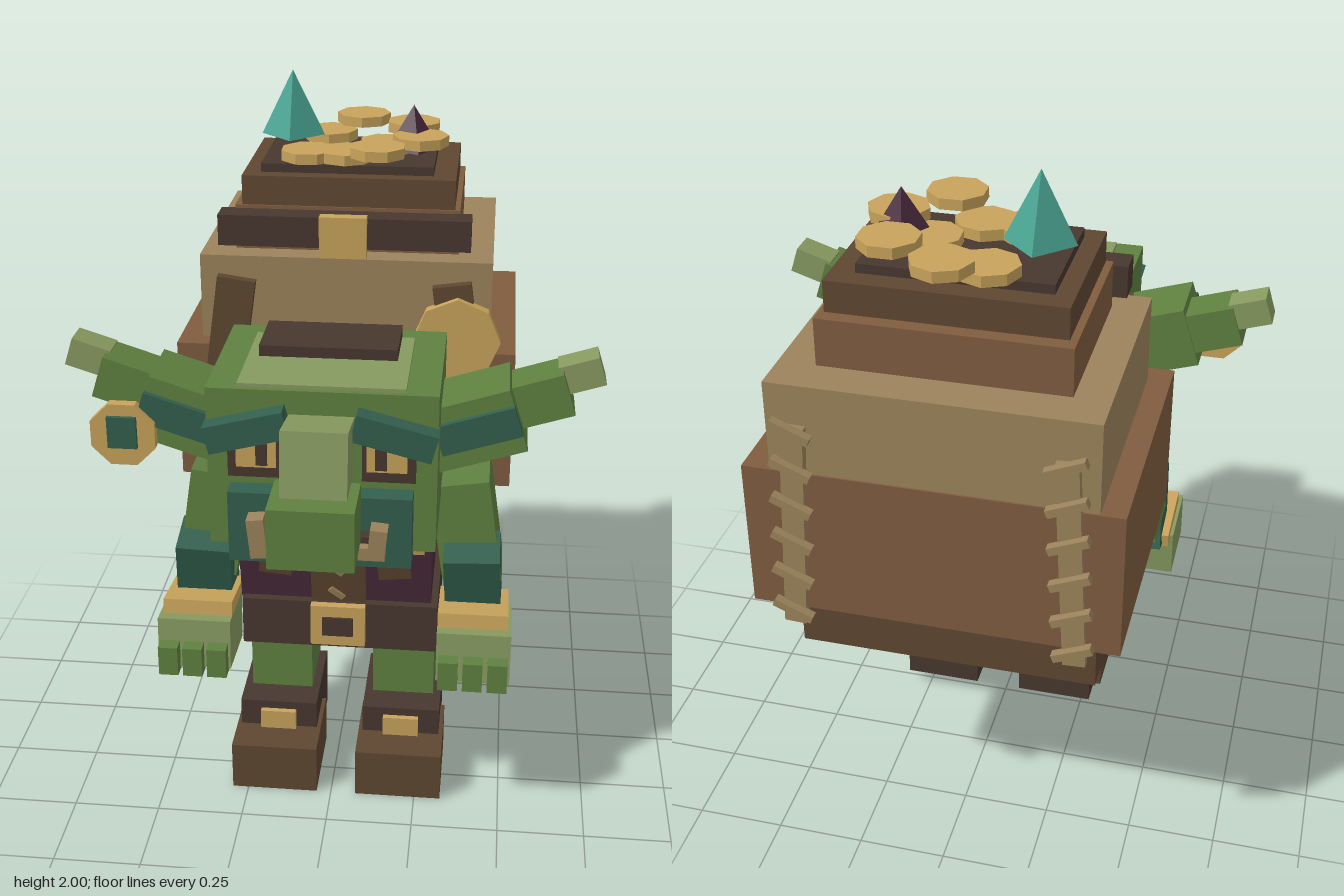
import * as THREE from 'three';
import { toCreasedNormals } from 'three/addons/utils/BufferGeometryUtils.js';

const mat = (name, color) => {
  const m = new THREE.MeshStandardMaterial({ color });
  m.name = name;
  return m;
};

export function createModel() {
  const green = mat('skin green', 0x5f8040);
  const light = mat('light green', 0x879a60);
  const teal = mat('dark teal', 0x335f4e);
  const tan = mat('tan cloth', 0x9b835b);
  const brown = mat('sack brown', 0x7f5c3f);
  const dark = mat('dark leather', 0x5f4731);
  const black = mat('darkest leather', 0x47372f);
  const gold = mat('gold', 0xc8a35b);
  const purple = mat('purple cloth', 0x4b2b3d);
  const gem = mat('turquoise gem', 0x4aa593);

  const root = new THREE.Group();
  root.name = 'goblinWithSack';
  const group = (name, parent = root) => {
    const g = new THREE.Group();
    g.name = name;
    parent.add(g);
    return g;
  };
  const add = (parent, name, geo, m, pos, rot = [0, 0, 0]) => {
    const mesh = new THREE.Mesh(geo, m);
    mesh.name = name;
    mesh.position.set(...pos);
    mesh.rotation.set(...rot);
    parent.add(mesh);
    return mesh;
  };
  // box by centre and size
  const box = (parent, name, m, pos, size, rot) =>
    add(parent, name, new THREE.BoxGeometry(...size), m, pos, rot);
  // box by its x, y and z ranges
  const span = (parent, name, m, x0, x1, y0, y1, z0, z1) =>
    box(parent, name, m, [(x0 + x1) / 2, (y0 + y1) / 2, (z0 + z1) / 2], [x1 - x0, y1 - y0, z1 - z0]);
  const disc = (parent, name, m, r, h, pos, rot) =>
    add(parent, name, toCreasedNormals(new THREE.CylinderGeometry(r, r, h, 8), 0.3), m, pos, rot);
  const spike = (parent, name, m, r, h, pos, rot) =>
    add(parent, name, toCreasedNormals(new THREE.ConeGeometry(r, h, 4), 0.3), m, pos, rot);

  // Sack, stacked from the base up
  const sack = group('sack');
  span(sack, 'sackBase', dark, -0.41, 0.41, 0.655, 0.87, -0.66, -0.06);
  span(sack, 'sackBody', brown, -0.49, 0.495, 0.86, 1.28, -0.77, -0.02);
  span(sack, 'sackShoulder', tan, -0.425, 0.42, 1.2, 1.53, -0.765, -0.085);
  span(sack, 'sackNeck', brown, -0.33, 0.32, 1.52, 1.66, -0.655, -0.16);
  span(sack, 'sackCollar', dark, -0.31, 0.305, 1.65, 1.745, -0.615, -0.165);
  span(sack, 'sackMouth', black, -0.26, 0.24, 1.74, 1.77, -0.555, -0.21);
  span(sack, 'sackBelt', black, -0.37, 0.355, 1.56, 1.65, -0.165, -0.085);
  span(sack, 'sackBuckle', gold, -0.075, 0.06, 1.54, 1.66, -0.09, -0.055);
  for (const s of [-1, 1]) {
    // Shoulder straps and the stitched seams on the back
    box(sack, 'shoulderStrap', dark, [s * 0.35, 1.18, -0.015], [0.11, 0.62, 0.03], [0, 0, s * 0.14]);
    const seam = group('backSeam', sack);
    seam.position.set(s * 0.36, 1.12, -0.777);
    seam.rotation.z = s * 0.05;
    box(seam, 'seamStrip', tan, [0, 0, 0], [0.06, 0.6, 0.025]);
    for (let i = 0; i < 6; i++)
      box(seam, 'seamStitch', tan, [0, -0.25 + i * 0.11, -0.022], [0.11, 0.022, 0.025], [0, 0, s * 0.35]);
  }
  disc(sack, 'strapMedallion', gold, 0.125, 0.035, [0.325, 1.33, 0.005], [Math.PI / 2, 0, 0]);

  // Treasure heaped in the mouth of the sack
  const treasure = group('treasure', sack);
  const coins = [
    [0.005, 1.82, -0.605], [0.165, 1.82, -0.51], [0.195, 1.82, -0.33], [0.08, 1.82, -0.19],
    [-0.09, 1.785, -0.53], [-0.13, 1.785, -0.28], [-0.02, 1.785, -0.28], [0.09, 1.785, -0.4],
  ];
  coins.forEach((p, i) => disc(treasure, 'coin', gold, 0.082, 0.03, p, [0, i * 0.4, 0]));
  spike(treasure, 'turquoiseCrystal', gem, 0.094, 0.19, [-0.19, 1.905, -0.41]);
  spike(treasure, 'purpleCrystal', purple, 0.08, 0.13, [0.17, 1.845, -0.385], [0, 0.25, 0]);

  // Torso, leaning forward
  const torso = group('torso');
  torso.position.set(0, 0.8, 0.06);
  torso.rotation.x = 0.2;
  box(torso, 'vest', purple, [0, 0, 0], [0.56, 0.54, 0.38]);
  box(torso, 'chest', green, [0, 0.15, 0.015], [0.4, 0.3, 0.4]);
  box(torso, 'vestPanel', dark, [0.01, -0.11, 0.193], [0.16, 0.24, 0.02]);
  for (const y of [-0.06, -0.15])
    box(torso, 'panelStitch', tan, [0.005, y, 0.206], [0.05, 0.018, 0.009], [0, 0, -0.7]);
  for (const s of [-1, 1]) {
    box(torso, 'vestPatch', dark, [s * 0.172, -0.06, 0.193], [0.095, 0.065, 0.012], [0, 0, s * 0.12]);
    box(torso, 'vestClasp', gold, [s * 0.23, 0.04, 0.195], [0.06, 0.06, 0.02]);
  }
  const belt = group('belt');
  span(belt, 'beltBand', black, -0.275, 0.3, 0.43, 0.58, -0.205, 0.235);
  span(belt, 'buckleFrame', gold, -0.07, 0.09, 0.45, 0.58, 0.235, 0.26);
  span(belt, 'buckleCentre', black, -0.035, 0.055, 0.485, 0.545, 0.258, 0.267);

  for (const s of [-1, 1]) {
    const side = s < 0 ? 'right' : 'left';
    // Leg and boot
    const leg = group(side + 'Leg');
    leg.position.x = s < 0 ? -0.17 : 0.2;
    span(leg, 'shin', green, -0.092, 0.092, 0.2, 0.44, -0.055, 0.165);
    span(leg, 'bootCuff', black, -0.115, 0.115, 0.05, 0.235, -0.04, 0.255);
    span(leg, 'bootFoot', dark, -0.127, 0.127, 0, 0.15, 0.1, 0.37);
    span(leg, 'bootTab', gold, -0.053, 0.053, 0.15, 0.21, 0.25, 0.272);

    // Arm and hand
    const arm = group(side + 'Arm');
    arm.position.x = s * 0.375 + 0.01;
    box(arm, 'upperArm', green, [-s * 0.01, 0.815, 0.11], [0.17, 0.32, 0.21], [0, 0, s * 0.15]);
    box(arm, 'forearm', teal, [s * 0.015, 0.67, 0.2], [0.16, 0.24, 0.14], [0.25, 0, s * 0.05]);
    box(arm, 'wristBand', gold, [s * 0.02, 0.595, 0.25], [0.2, 0.045, 0.21], [-0.15, 0, 0]);
    box(arm, 'hand', light, [s * 0.025, 0.51, 0.295], [0.21, 0.15, 0.21], [-0.08, 0, 0]);
    for (const i of [-1, 0, 1])
      box(arm, 'finger', green, [s * 0.025 + i * 0.07, 0.48, 0.412], [0.056, 0.09, 0.06]);
  }

  // Head
  const head = group('head');
  span(head, 'skull', green, -0.3, 0.3, 0.94, 1.385, 0.09, 0.55);
  span(head, 'scalp', light, -0.22, 0.215, 1.38, 1.395, 0.17, 0.535);
  span(head, 'hairPatch', black, -0.19, 0.18, 1.39, 1.425, 0.155, 0.345);
  span(head, 'jaw', teal, -0.24, 0.24, 0.92, 1.12, 0.5, 0.61);
  span(head, 'mouth', black, -0.15, 0.15, 0.98, 1.025, 0.6, 0.645);
  box(head, 'noseBridge', light, [0, 1.245, 0.645], [0.17, 0.18, 0.17], [-0.17, 0, 0]);
  box(head, 'noseTip', green, [0, 1.095, 0.725], [0.22, 0.165, 0.17]);
  for (const s of [-1, 1]) {
    box(head, 'tusk', tan, [s * 0.155, 1.02, 0.65], [0.045, s < 0 ? 0.11 : 0.08, 0.05], [0, 0, -s * 0.1]);
    box(head, 'tuskRoot', tan, [s * 0.14, 0.99, 0.65], [0.07, 0.035, 0.045]);
    box(head, 'brow', teal, [s * 0.19, 1.285, 0.57], [0.215, 0.075, 0.07], [0, 0, -s * 0.25]);
    box(head, 'eyeSocket', black, [s * 0.175, 1.2, 0.553], [0.14, 0.115, 0.012]);
    box(head, 'eye', gold, [s * 0.17, 1.21, 0.56], [0.105, 0.075, 0.009]);
    box(head, 'pupil', black, [s * 0.155, 1.21, 0.565], [0.03, 0.06, 0.009]);

    // Stepped ear, sweeping out and up
    const ear = group(s < 0 ? 'rightEar' : 'leftEar', head);
    const tilt = [0, 0, s * 0.31];
    box(ear, 'earBase', green, [s * 0.38, 1.225, 0.31], [0.26, 0.18, 0.2], tilt);
    box(ear, 'earMiddle', green, [s * 0.54, 1.285, 0.28], [0.2, 0.12, 0.13], tilt);
    box(ear, 'earTip', light, [s * 0.668, 1.355, 0.265], [0.11, 0.08, 0.085], tilt);
    box(ear, 'innerEar', teal, [s * 0.4, 1.235, 0.415], [0.22, 0.085, 0.025], tilt);
  }
  const earring = group('earring', head);
  disc(earring, 'earringDisc', gold, 0.095, 0.03, [-0.55, 1.19, 0.425], [Math.PI / 2, 0.39, 0]);
  box(earring, 'earringStone', teal, [-0.55, 1.2, 0.442], [0.08, 0.09, 0.02]);

  return root;
}
